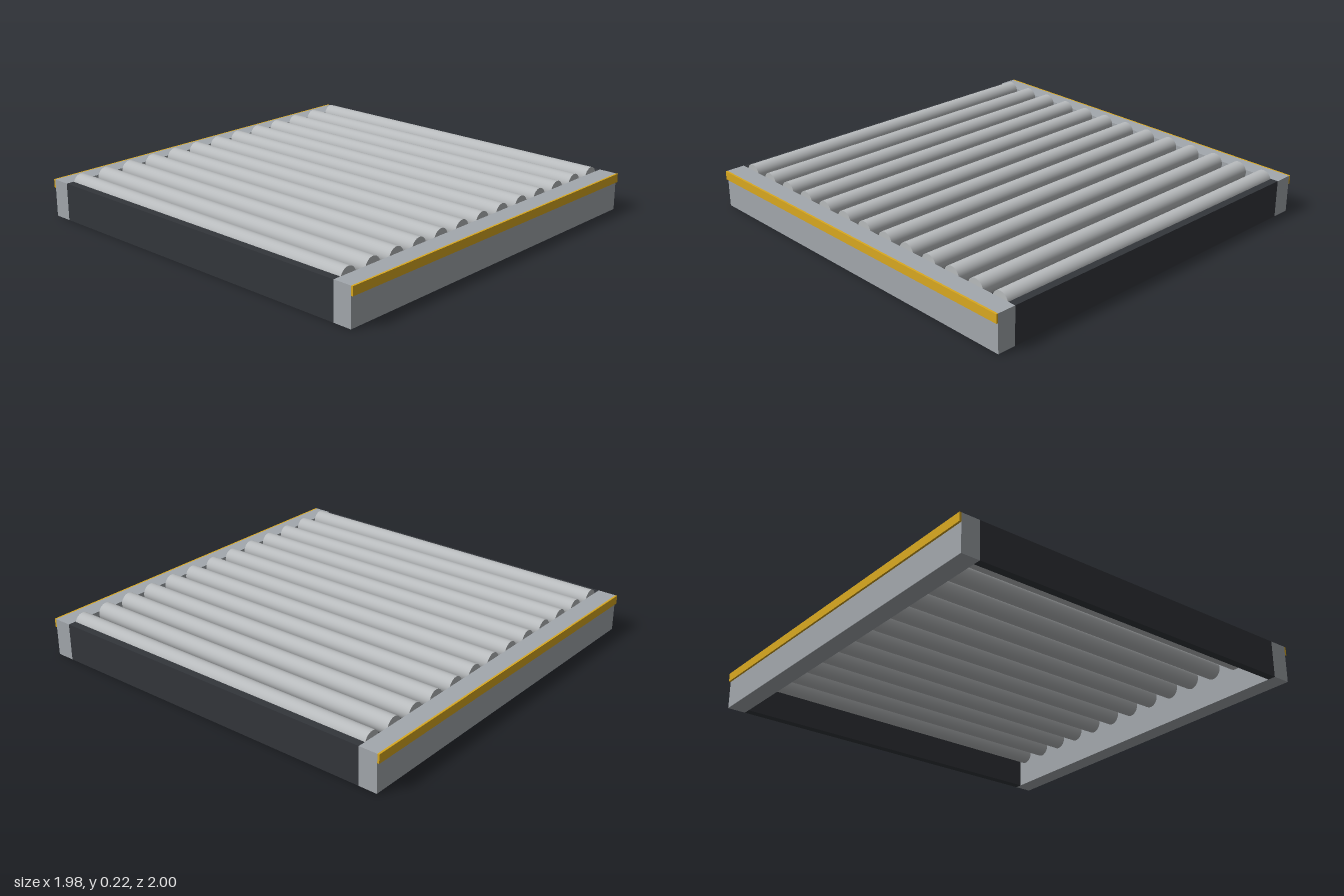
import * as THREE from 'three';

const material = (color) => new THREE.MeshStandardMaterial({ color });

export function createModel() {
  const model = new THREE.Group();
  model.name = 'rollerDeck';

  const railGrey = material(0xa3a8ad);
  const darkGrey = material(0x33363b);
  const yellow = material(0xdaa920);
  const rollerGrey = material(0xb9bcbe);

  const height = 0.19;
  const innerZ = 0.895;

  function add(name, geometry, mat, x, y, z) {
    const mesh = new THREE.Mesh(geometry, mat);
    mesh.name = name;
    mesh.position.set(x, y, z);
    model.add(mesh);
  }

  for (const s of [1, -1]) {
    // Front and back rails, each with a marking strip along its top outer edge
    const end = s > 0 ? 'front' : 'back';
    add(end + 'Rail', new THREE.BoxGeometry(1.976, height, 0.095), railGrey, 0, height / 2, s * (innerZ + 0.0475));
    add(end + 'Strip', new THREE.BoxGeometry(1.976, 0.044, 0.01), yellow, 0, height - 0.022, s * 0.995);

    // Dark side members between the rails
    const side = s > 0 ? 'left' : 'right';
    add(side + 'SideMember', new THREE.BoxGeometry(0.04, height, innerZ * 2), darkGrey, s * 0.968, height / 2, 0);
  }

  // Row of rollers standing slightly proud of the frame
  const count = 13;
  const roller = new THREE.CylinderGeometry(0.047, 0.047, innerZ * 2, 32).rotateX(Math.PI / 2);
  for (let i = 0; i < count; i++) {
    add('roller' + (i + 1), roller, rollerGrey, (i - (count - 1) / 2) * 0.15, 0.175, 0);
  }

  return model;
}
